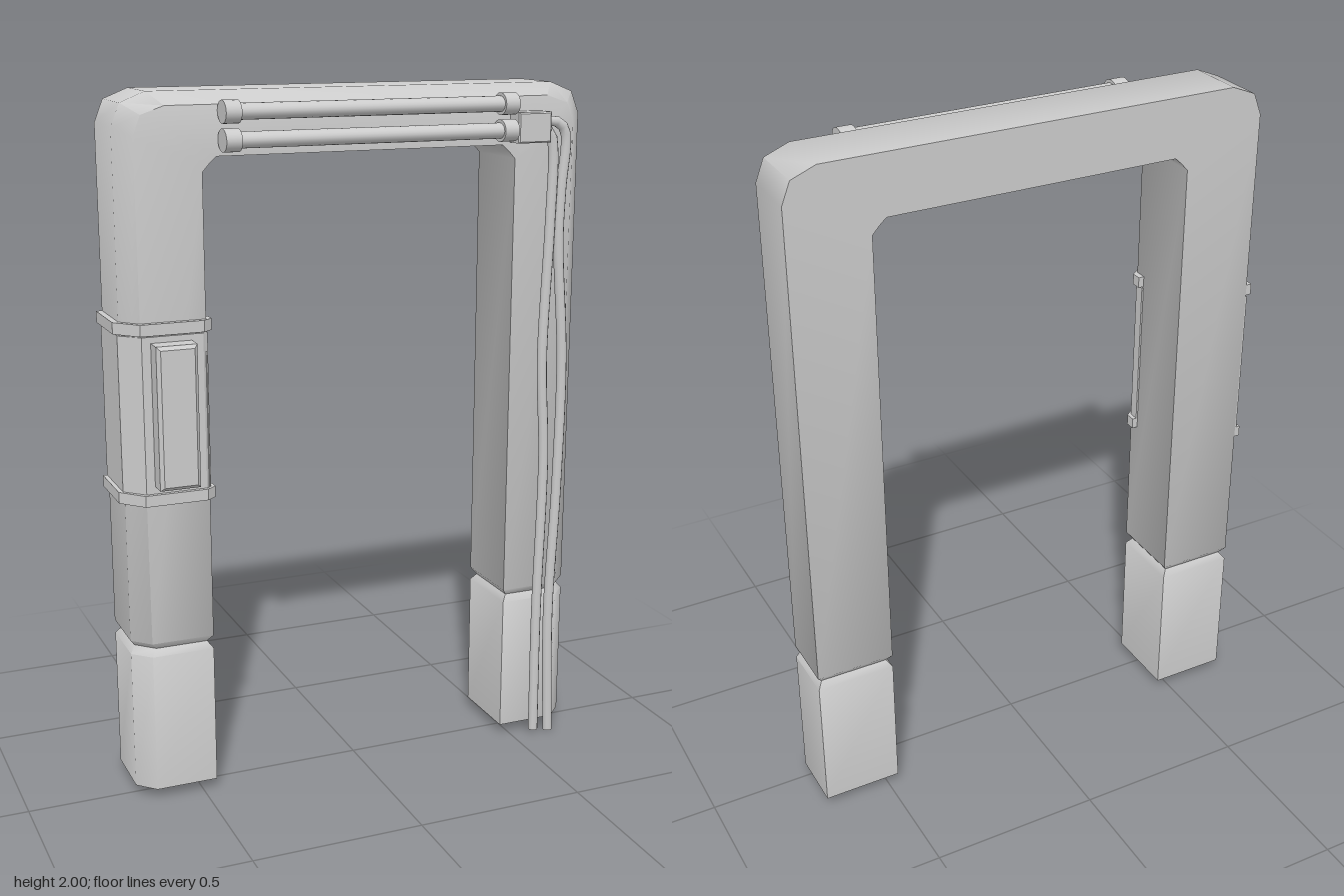
import * as THREE from 'three';
import { toCreasedNormals } from 'three/addons/utils/BufferGeometryUtils.js';

const BACK = -0.155, FRONT = 0.07, CHAMFER = 0.05, SHIFT = 0.005;
const material = new THREE.MeshStandardMaterial({ color: 0xcccccc });

function add(parent, name, geometry, x = 0, y = 0, z = 0) {
  const mesh = new THREE.Mesh(geometry, material);
  mesh.name = name;
  mesh.position.set(x, y, z);
  parent.add(mesh);
  return mesh;
}

// Arch: a five-sided section swept from one foot, over the top, to the other.
// Each station holds outer x, outer y, inner x, inner y and inset depth.
function archGeometry() {
  const half = [
    [0.695, 0.03, 0.465, 0.03, 0],
    [0.695, 0.44, 0.465, 0.44, 0],
    [0.695, 0.46, 0.465, 0.46, 0.015],
    [0.695, 0.48, 0.465, 0.48, 0],
    [0.695, 1.91, 0.465, 1.79, 0],
    [0.67, 1.972, 0.445, 1.812, 0],
    [0.6, 2, 0.425, 1.83, 0],
  ];
  const other = half.map(([ox, oy, ix, iy, d]) => [-ox, oy, -ix, iy, d]).reverse();
  const rings = [...half, ...other].map(([ox, oy, ix, iy, d]) => {
    const dir = new THREE.Vector2(ix - ox, iy - oy).normalize();
    const o = new THREE.Vector2(ox, oy).addScaledVector(dir, d);
    const i = new THREE.Vector2(ix, iy).addScaledVector(dir, -d);
    const c = o.clone().addScaledVector(dir, CHAMFER);
    const f = FRONT - d, b = BACK + d;
    return [[o, b], [o, f - CHAMFER], [c, f], [i, f], [i, b]]
      .map(([p, z]) => [p.x + SHIFT, p.y, z]);
  });
  const n = 5, last = (rings.length - 1) * n, index = [];
  for (let r = 0; r < rings.length - 1; r++) {
    for (let k = 0; k < n; k++) {
      const a = r * n + k, b = r * n + (k + 1) % n;
      index.push(a, a + n, b, b, a + n, b + n);
    }
  }
  for (let k = 1; k < n - 1; k++) {
    index.push(0, k, k + 1, last, last + k + 1, last + k);
  }
  const g = new THREE.BufferGeometry();
  g.setAttribute('position', new THREE.Float32BufferAttribute(rings.flat(2), 3));
  g.setIndex(index);
  return toCreasedNormals(g, 0.87);
}

// Open wrap around the outside and front of a leg, grown by t
function wrapGeometry(t, height) {
  const outline = [
    [-0.69 - t, -0.154], [-0.69 - t, 0.022], [-0.64 - t / 2, 0.07 + t],
    [-0.47, 0.07 + t], [-0.46 + t, 0.065], [-0.46 + t, 0.035],
    [-0.47, 0.035], [-0.47, 0.06], [-0.635, 0.06], [-0.68, 0.015], [-0.68, -0.154],
  ];
  const shape = new THREE.Shape(outline.map(([x, z]) => new THREE.Vector2(x, -z)));
  return new THREE.ExtrudeGeometry(shape, { depth: height, bevelEnabled: false }).rotateX(-Math.PI / 2);
}

// Box with bevelled front edges, its back at z = 0
function bevelledBox(w, h, depth, bevel) {
  const x = w / 2 - bevel, y = h / 2 - bevel;
  const shape = new THREE.Shape([[-x, -y], [x, -y], [x, y], [-x, y]].map((p) => new THREE.Vector2(...p)));
  return new THREE.ExtrudeGeometry(shape, {
    depth: depth - 2 * bevel, bevelThickness: bevel, bevelSize: bevel, bevelSegments: 1,
  }).translate(0, 0, bevel);
}

// Oval rod lying along x
function rod(length, ry, rz) {
  return new THREE.CylinderGeometry(1, 1, length, 20).rotateZ(Math.PI / 2).scale(1, ry, rz);
}

export function createModel() {
  const model = new THREE.Group();
  model.name = 'archway';
  add(model, 'arch', archGeometry());

  // Control panel strapped to one leg
  const control = new THREE.Group();
  control.name = 'controlUnit';
  model.add(control);
  add(control, 'sleeve', wrapGeometry(0.005, 0.44), 0, 0.92);
  for (const y of [0.89, 1.365]) add(control, 'strap', wrapGeometry(0.017, 0.032), 0, y);
  add(control, 'panel', bevelledBox(0.115, 0.4, 0.07, 0.01), -0.56, 1.143, 0.065);

  // Twin lamp tubes with end caps
  for (const y of [1.948, 1.874]) {
    const lamp = new THREE.Group();
    lamp.name = 'lamp';
    lamp.position.set(0.013, y, 0.11);
    model.add(lamp);
    add(lamp, 'tube', rod(0.8, 0.022, 0.03));
    for (const side of [-1, 1]) add(lamp, 'endCap', rod(0.044, 0.031, 0.038), side * 0.407);
  }

  // Junction box and the cables hanging down the leg
  add(model, 'junctionBox', bevelledBox(0.104, 0.086, 0.06, 0.004), 0.504, 1.88, 0.065);
  const cables = [
    [[0.54, 1.873], [0.567, 1.865], [0.579, 1.82], [0.577, 1.6], [0.565, 1.2], [0.58, 0.9], [0.572, 0.4], [0.574, 0.01]],
    [[0.54, 1.895], [0.59, 1.892], [0.617, 1.865], [0.61, 1.7], [0.607, 1.55], [0.631, 1.2], [0.628, 0.8], [0.614, 0.4], [0.626, 0]],
  ];
  for (const points of cables) {
    const curve = new THREE.CatmullRomCurve3(points.map(([x, y]) => new THREE.Vector3(x, y, 0.094)));
    const cable = add(model, 'cable', new THREE.TubeGeometry(curve, 80, 0.015, 10));
    const [x, y] = points.at(-1);
    add(cable, 'cableEnd', new THREE.CircleGeometry(0.015, 10).rotateX(Math.PI / 2), x, y, 0.094);
  }
  return model;
}
